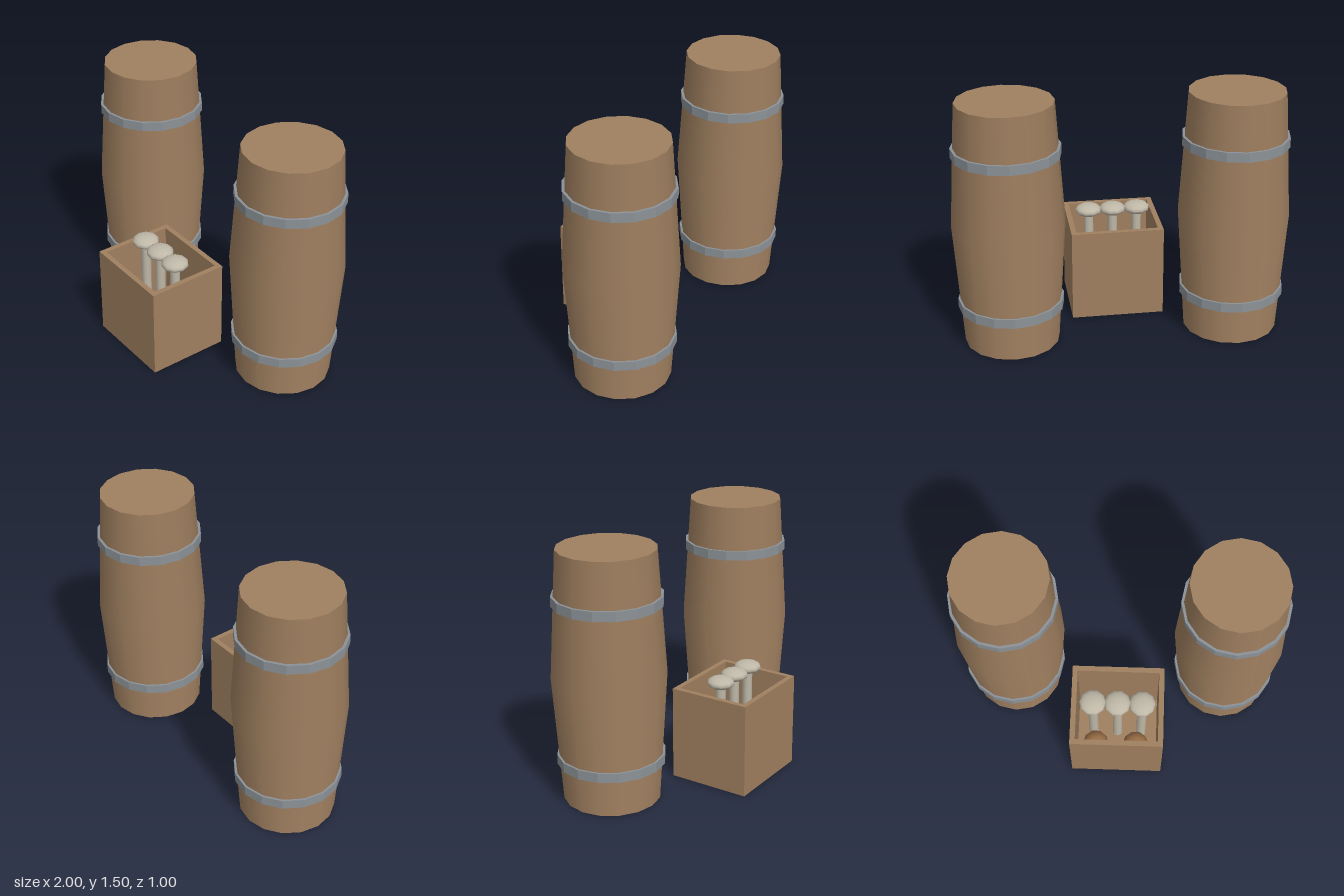
import * as THREE from 'three';

const wood = new THREE.MeshStandardMaterial({ name: 'wood', color: 0xa08060 });
const iron = new THREE.MeshStandardMaterial({ name: 'iron', color: 0x8b9297 });
const pale = new THREE.MeshStandardMaterial({ name: 'paleCream', color: 0xbfb8a8 });
const russet = new THREE.MeshStandardMaterial({ name: 'russet', color: 0x9c7048 });

function add(parent, name, geometry, material, x = 0, y = 0, z = 0) {
  const mesh = new THREE.Mesh(geometry, material);
  mesh.name = name;
  mesh.position.set(x, y, z);
  parent.add(mesh);
  return mesh;
}

// Cylinder whose middle ring is pushed outwards
function barrelBody(endRadius, midRadius, height) {
  const geometry = new THREE.CylinderGeometry(endRadius, endRadius, height, 16, 2);
  const p = geometry.attributes.position;
  const k = midRadius / endRadius;
  for (let i = 0; i < p.count; i++) {
    if (Math.abs(p.getY(i)) < 0.01) p.setXYZ(i, p.getX(i) * k, 0, p.getZ(i) * k);
  }
  return geometry;
}

// Square-edged hoop, closed on all four sides
function hoopGeometry(inner, outer, height) {
  const h = height / 2;
  const profile = [[inner, -h], [outer, -h], [outer, h], [inner, h], [inner, -h]];
  const points = profile.map(([r, y]) => new THREE.Vector2(r, y));
  const geometry = new THREE.LatheGeometry(points, 16).toNonIndexed();
  geometry.computeVertexNormals();
  return geometry;
}

function makeBarrel(name, x) {
  const barrel = new THREE.Group();
  barrel.name = name;
  barrel.position.set(x, 0, -0.167);
  add(barrel, 'barrelBody', barrelBody(0.284, 0.333, 1.5), wood, 0, 0.75, 0);
  add(barrel, 'lowerHoop', hoopGeometry(0.297, 0.315, 0.057), iron, 0, 0.252, 0);
  add(barrel, 'upperHoop', hoopGeometry(0.299, 0.317, 0.057), iron, 0, 1.205, 0);
  return barrel;
}

function makeCrate() {
  const crate = new THREE.Group();
  crate.name = 'crate';
  crate.position.z = 0.25;
  const w = 0.565, d = 0.5, h = 0.567, t = 0.032;
  add(crate, 'crateFloor', new THREE.BoxGeometry(w, t, d), wood, 0, t / 2, 0);
  for (const s of [-1, 1]) {
    const y = (h + t) / 2;
    add(crate, s > 0 ? 'crateFront' : 'crateBack',
      new THREE.BoxGeometry(w, h - t, t), wood, 0, y, s * (d - t) / 2);
    add(crate, s > 0 ? 'crateLeftSide' : 'crateRightSide',
      new THREE.BoxGeometry(t, h - t, d - 2 * t), wood, s * (w - t) / 2, y, 0);
  }

  // Row of mushrooms standing in the crate
  for (const x of [-0.15, 0, 0.15]) {
    const mushroom = new THREE.Group();
    mushroom.name = 'mushroom';
    mushroom.position.x = x;
    add(mushroom, 'stem', new THREE.CylinderGeometry(0.03, 0.03, 0.57, 10), pale, 0, 0.317, 0);
    const cap = add(mushroom, 'cap', new THREE.SphereGeometry(0.082, 10, 8), pale, 0, 0.618, 0);
    cap.scale.y = 0.45;
    crate.add(mushroom);
  }

  // Round roots lying on the floor
  for (const x of [-0.135, 0.118]) {
    add(crate, 'root', new THREE.SphereGeometry(0.083, 10, 8), russet, x, 0.115, 0.11);
  }
  return crate;
}

export function createModel() {
  const model = new THREE.Group();
  model.name = 'barrelsAndCrate';
  model.add(makeBarrel('leftBarrel', 0.667), makeBarrel('rightBarrel', -0.667), makeCrate());
  return model;
}
